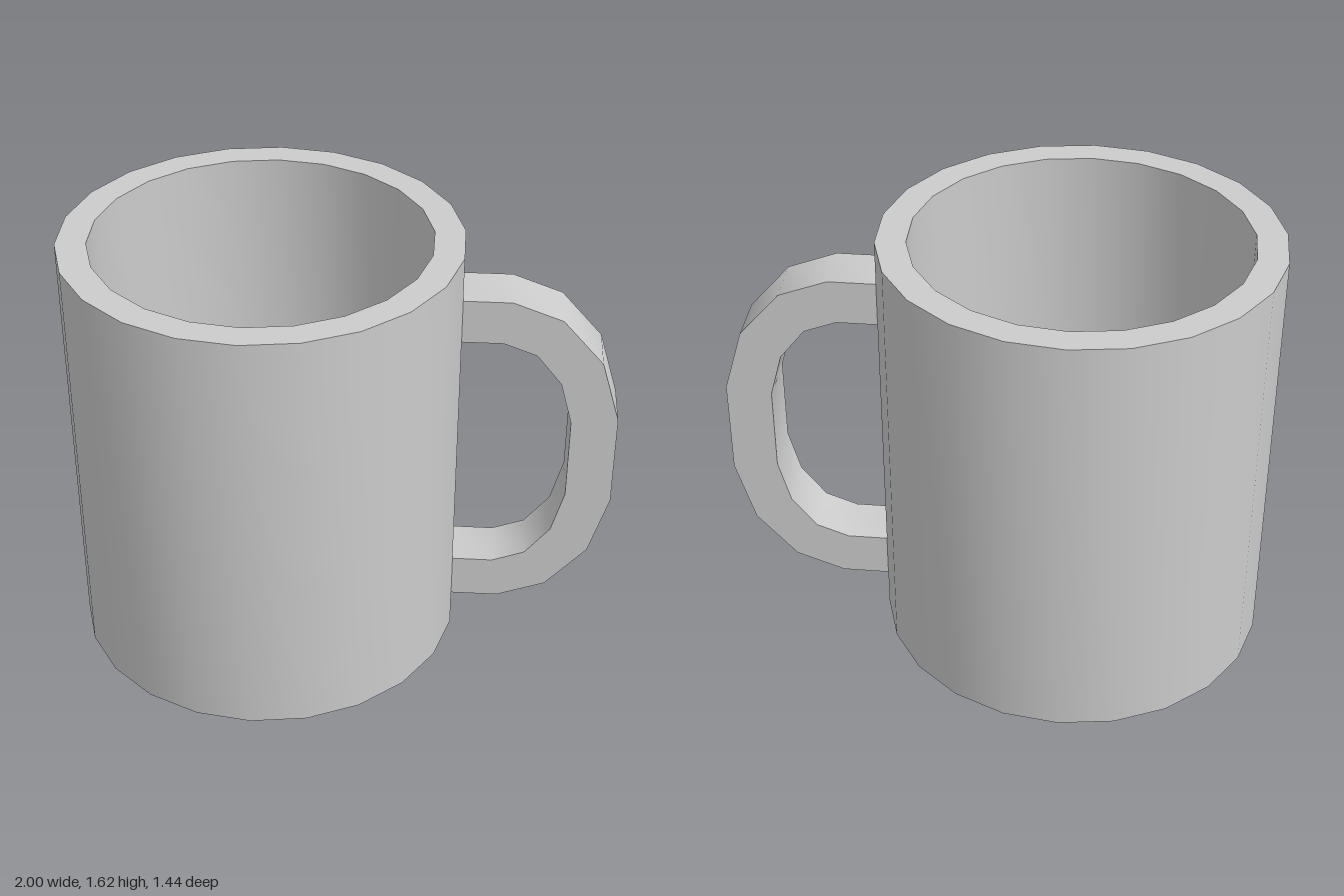
import * as THREE from 'three';
import { toCreasedNormals } from 'three/addons/utils/BufferGeometryUtils.js';

const CREASE = 0.6;
const SIDES = 22;
const HEIGHT = 1.615, OUTER = 0.72, INNER = 0.61, FLOOR = 0.11;
const MID = 0.796; // height of the handle's mirror line

const points = (list) => list.map(([x, y]) => new THREE.Vector2(x, y));

// Upper half of a handle outline, followed by its mirror image below MID
const mirrored = (half) => [...half, ...half.map(([x, y]) => [x, 2 * MID - y]).reverse()];

export function createModel() {
  const group = new THREE.Group();
  const material = new THREE.MeshStandardMaterial({ color: 0xcccccc });

  const add = (name, geometry) => {
    const mesh = new THREE.Mesh(toCreasedNormals(geometry, CREASE), material);
    mesh.name = name;
    group.add(mesh);
    return mesh;
  };

  // Cup: outer wall, flat rim, inner wall and floor as one closed profile
  const profile = points([
    [0, 0], [OUTER, 0], [OUTER, HEIGHT], [INNER, HEIGHT], [INNER, FLOOR], [0, FLOOR],
  ]);
  add('cup', new THREE.LatheGeometry(profile, SIDES)).position.x = -0.287;

  // Handle: faceted C-shaped band, its ends sunk slightly into the wall
  const outer = mirrored([[0.4, 1.447], [0.6, 1.447], [0.78, 1.38], [0.93, 1.21], [1, 0.975]]);
  const inner = mirrored([[0.4, 1.28], [0.575, 1.28], [0.695, 1.235], [0.787, 1.12], [0.832, 0.955]]);
  const band = new THREE.Shape(points([...outer, ...inner.reverse()]));
  const handle = new THREE.ExtrudeGeometry(band, { depth: 0.204, bevelEnabled: false });
  handle.translate(0, 0, -0.102);
  add('handle', handle);

  return group;
}
